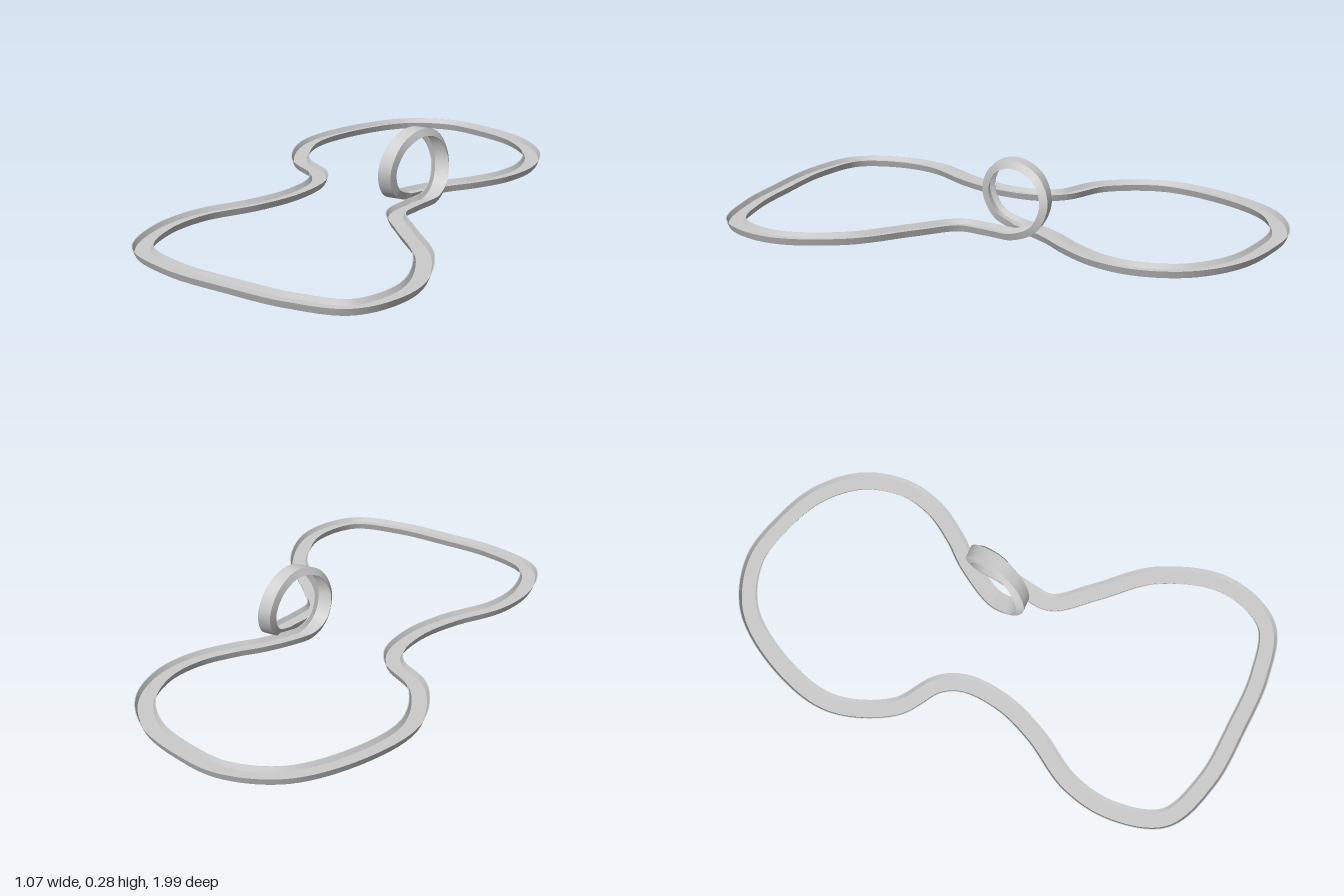
import * as THREE from 'three';

// Loop-the-loop: radius and centre, sideways drift per 45 degrees
const R = 0.138, LOOP_Z = -0.068;
const LOOP_X = [0.21, 0.21, 0.2, 0.18, 0.155, 0.12, 0.097, 0.095, 0.112];
const LOOP_SPANS = LOOP_X.length - 1;

// Flat part of the circuit (x, z), from the loop exit round to its entry
const GROUND = [
  [0.2, -0.21], [0.28, -0.3], [0.36, -0.42], [0.395, -0.56], [0.36, -0.725], [0.24, -0.86],
  [0.07, -0.935], [-0.1, -0.963], [-0.29, -0.89], [-0.445, -0.67], [-0.5, -0.45], [-0.42, -0.23],
  [-0.28, -0.12], [-0.24, -0.03], [-0.255, 0.13], [-0.32, 0.28], [-0.435, 0.46], [-0.47, 0.635],
  [-0.42, 0.82], [-0.235, 0.91], [0, 0.942], [0.215, 0.953], [0.41, 0.91], [0.5, 0.72],
  [0.435, 0.465], [0.28, 0.275], [0.178, 0.14], [0.188, 0.03],
];

// Channel cross-section (sideways, up): bottom, flared walls, rims, floor
const SECTION = [
  [-0.025, 0], [0.025, 0], [0.036, 0.027], [0.033, 0.027],
  [0.026, 0.01], [-0.026, 0.01], [-0.033, 0.027], [-0.036, 0.027],
];
const FLOOR_EDGE = 4;

// Frames (position, side, up) along the closed centre line
function makeFrames() {
  const points = LOOP_X.map((x, i) => {
    const a = (i / LOOP_SPANS) * Math.PI * 2;
    return new THREE.Vector3(x, R * (1 - Math.cos(a)), LOOP_Z - R * Math.sin(a));
  });
  GROUND.forEach(([x, z]) => points.push(new THREE.Vector3(x, 0, z)));
  const curve = new THREE.CatmullRomCurve3(points, true, 'centripetal');
  const n = points.length, count = n * 12, frames = [];
  for (let i = 0; i < count; i++) {
    const t = i / count;
    const position = curve.getPoint(t);
    const tangent = curve.getTangent(t);
    const inLoop = t * n < LOOP_SPANS;
    position.y = inLoop ? Math.max(0, position.y) : 0;
    if (!inLoop) tangent.setY(0).normalize();
    // In the loop the road surface faces the loop's centre
    const up = inLoop
      ? new THREE.Vector3(0, R - position.y, LOOP_Z - position.z).normalize()
      : new THREE.Vector3(0, 1, 0);
    const side = new THREE.Vector3().crossVectors(tangent, up).normalize();
    up.crossVectors(side, tangent).normalize();
    frames.push({ position, side, up });
  }
  return frames;
}

// Sweep chosen section edges; each edge has its own vertices to stay crisp
function sweep(frames, edges) {
  const pos = [], index = [];
  edges.forEach((e) => {
    const ends = [SECTION[e], SECTION[(e + 1) % SECTION.length]];
    const base = pos.length / 3;
    frames.forEach((f, i) => {
      ends.forEach(([s, h]) => {
        const p = f.position.clone().addScaledVector(f.side, s).addScaledVector(f.up, h);
        pos.push(p.x, p.y, p.z);
      });
      const a = base + i * 2, next = base + ((i + 1) % frames.length) * 2;
      index.push(a, next, a + 1, a + 1, next, next + 1);
    });
  });
  const geometry = new THREE.BufferGeometry();
  geometry.setAttribute('position', new THREE.Float32BufferAttribute(pos, 3));
  geometry.setIndex(index);
  geometry.computeVertexNormals();
  return geometry;
}

export function createModel() {
  const model = new THREE.Group();
  model.name = 'loopTrack';
  const material = new THREE.MeshStandardMaterial({ color: 0xcccccc, side: THREE.DoubleSide });
  const frames = makeFrames();
  const add = (name, edges) => {
    const mesh = new THREE.Mesh(sweep(frames, edges), material);
    mesh.name = name;
    model.add(mesh);
  };
  add('roadSurface', [FLOOR_EDGE]);
  add('trackWallsAndUnderside', SECTION.map((_, i) => i).filter((i) => i !== FLOOR_EDGE));
  return model;
}
